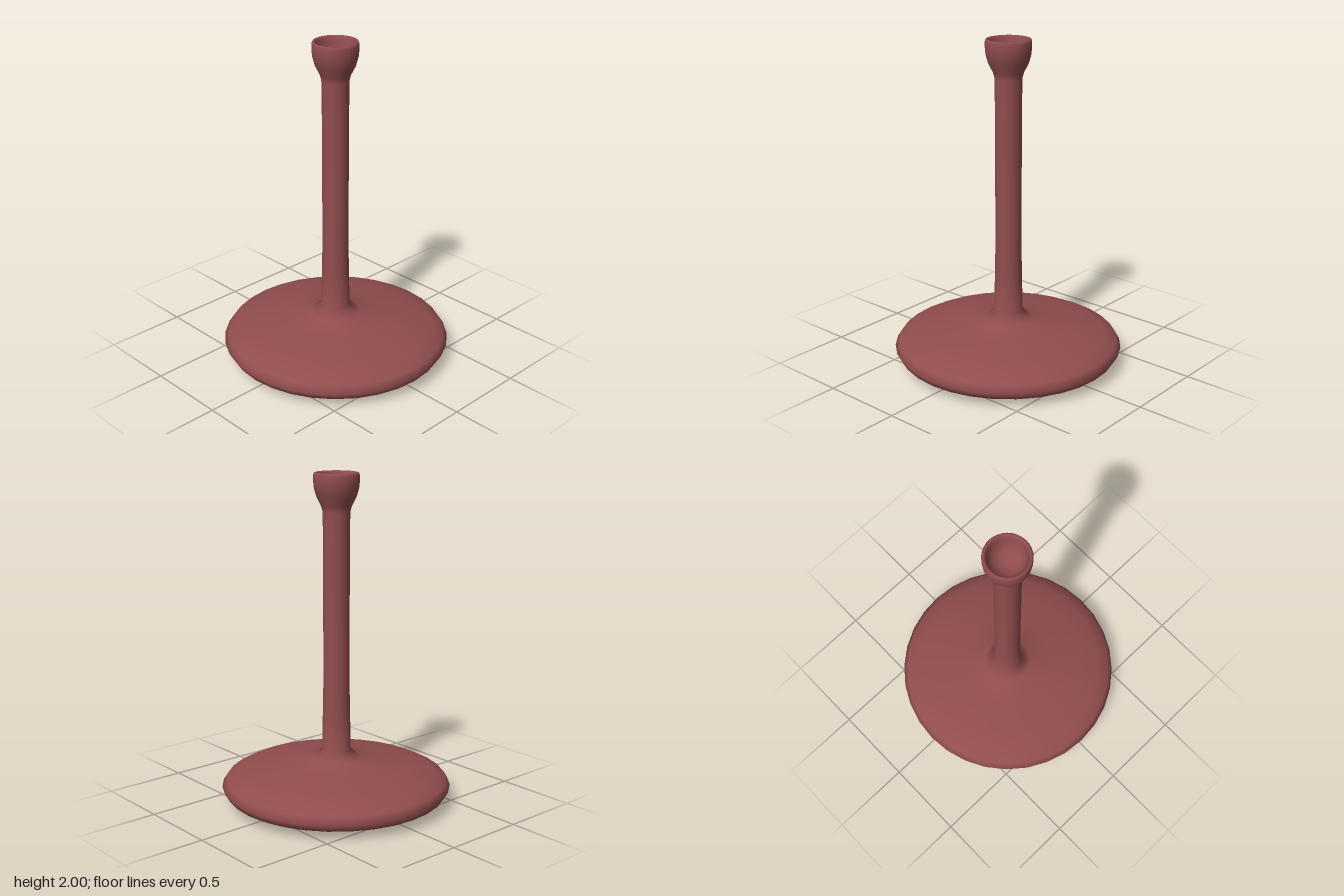
import * as THREE from 'three';

export function createModel() {
  const group = new THREE.Group();
  group.name = 'candleHolder';
  const clay = new THREE.MeshStandardMaterial({ color: 0x914d4d });
  clay.name = 'dusty red';

  // Profile as [radius, height], from under the foot up and into the cup
  const foot = [
    [0, 0], [0.25, 0.004], [0.46, 0.012], [0.6, 0.028], [0.672, 0.058], [0.698, 0.102],
    [0.672, 0.143], [0.6, 0.18], [0.47, 0.21], [0.3, 0.242], [0.15, 0.27],
  ];
  const stem = [[0.088, 0.32], [0.083, 0.55], [0.079, 0.75], [0.079, 1.2], [0.079, 1.55], [0.081, 1.77]];
  const cup = [
    [0.09, 1.805], [0.118, 1.86], [0.132, 1.91], [0.136, 1.95], [0.136, 1.985], [0.131, 1.998],
    [0.122, 2], [0.114, 1.99], [0.11, 1.96], [0.102, 1.91], [0.08, 1.865], [0.04, 1.84], [0, 1.835],
  ];
  const profile = [...foot, ...stem, ...cup].map(([r, y]) => new THREE.Vector2(r, y));
  const body = new THREE.LatheGeometry(profile, 32);

  // The stem and cup sit a touch behind the centre of the foot
  const pos = body.attributes.position;
  for (let i = 0; i < pos.count; i++) {
    if (pos.getY(i) > 0.25) pos.setZ(i, pos.getZ(i) - 0.004);
  }

  const mesh = new THREE.Mesh(body, clay);
  mesh.name = 'footStemAndCup';
  group.add(mesh);
  return group;
}
